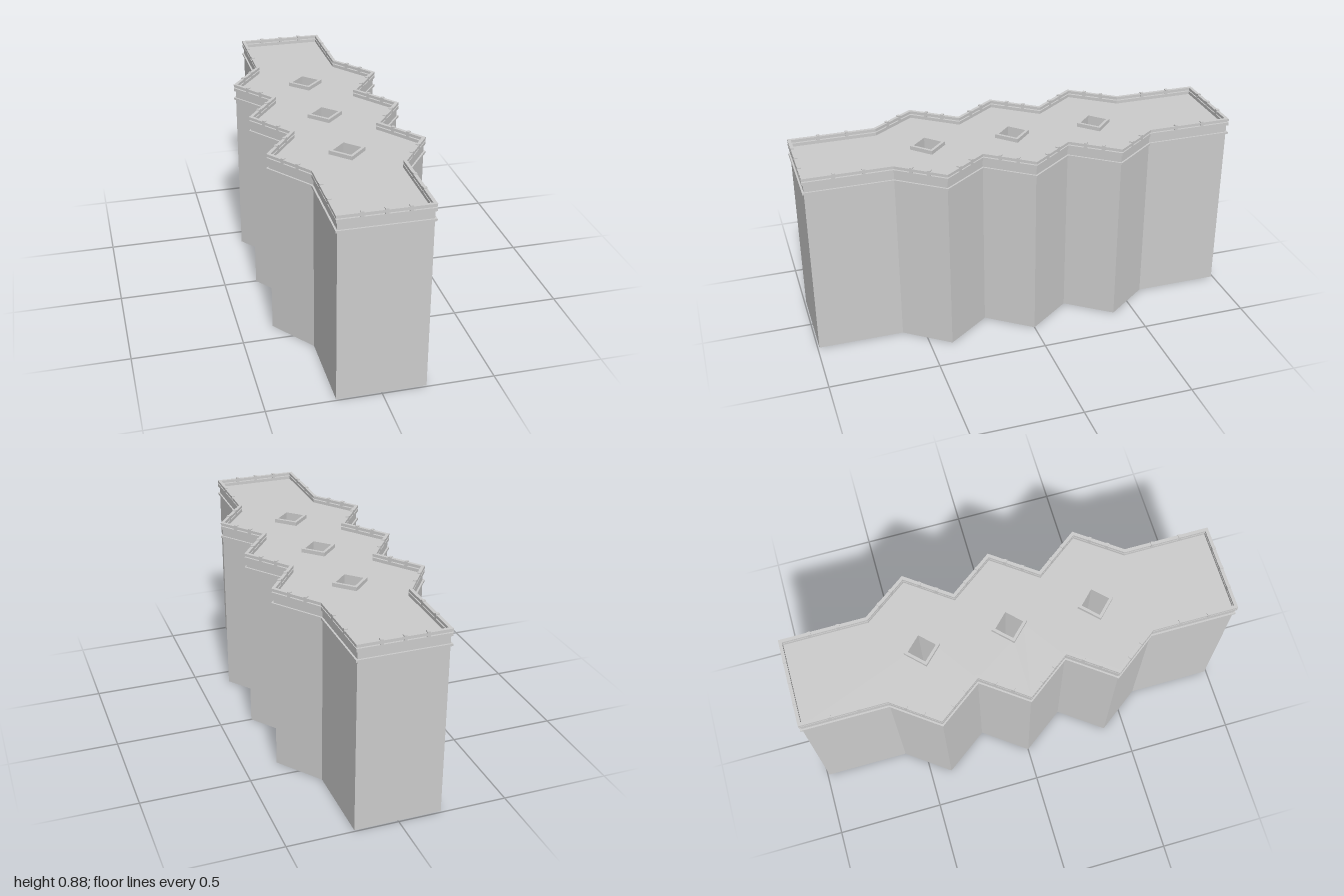
import * as THREE from 'three';

const material = new THREE.MeshStandardMaterial({ color: 0xcccccc, flatShading: true });

// Right half of the plan, then mirrored: plain ends with three pointed bays between
const half = [[0.198, -0.992], [0.198, -0.6], [0.346, -0.4], [0.198, -0.2], [0.346, 0],
  [0.198, 0.2], [0.346, 0.4], [0.198, 0.6], [0.198, 0.992]].map(([x, y]) => new THREE.Vector2(x, y));
const plan = [...half, ...half.map((p) => new THREE.Vector2(-p.x, -p.y))];

// Outward normal of the edge from a to b (counter-clockwise plan)
function normal(a, b) {
  const d = b.clone().sub(a).normalize();
  return new THREE.Vector2(d.y, -d.x);
}

// Plan pushed outward by d with mitred corners
function offset(d) {
  const n = plan.length;
  return plan.map((p, i) => {
    const n1 = normal(plan[(i + n - 1) % n], p);
    const n2 = normal(p, plan[(i + 1) % n]);
    return p.clone().addScaledVector(n1.clone().add(n2), d / (1 + n1.dot(n2)));
  });
}

function diamond(r, y) {
  return [[r, 0], [0, r], [-r, 0], [0, -r]].map(([a, b]) => new THREE.Vector2(a, y + b));
}

// Vertical prism over an outline with holes, from height y0 to y1
function prism(name, outline, holes, y0, y1) {
  const shape = new THREE.Shape(outline);
  shape.holes = holes.map((h) => new THREE.Path(h));
  const geometry = new THREE.ExtrudeGeometry(shape, { depth: y1 - y0, bevelEnabled: false });
  geometry.rotateX(-Math.PI / 2).translate(0, y0, 0);
  const mesh = new THREE.Mesh(geometry, material);
  mesh.name = name;
  return mesh;
}

export function createModel() {
  const model = new THREE.Group();
  model.name = 'building';
  const shafts = [-0.4, 0, 0.4];
  const roof = 0.842;

  // Solid block with three open shafts
  model.add(prism('body', plan, shafts.map((y) => diamond(0.064, y)), 0, roof));

  // Raised curbs around the shafts
  shafts.forEach((y) => model.add(prism('shaftCurb', diamond(0.082, y), [diamond(0.064, y)], roof, 0.86)));

  // Cornice below the roof and two parapet rails with a gap between
  model.add(prism('cornice', offset(0.008), [offset(-0.002)], 0.798, 0.808));
  model.add(prism('lowerRail', offset(0.007), [offset(-0.008)], roof, 0.857));
  model.add(prism('upperRail', offset(0.007), [offset(-0.008)], 0.862, 0.875));

  // Small posts holding the upper rail, evenly spaced along every edge
  const posts = new THREE.Group();
  posts.name = 'parapetPosts';
  const postGeometry = new THREE.BoxGeometry(0.014, 0.023, 0.016);
  plan.forEach((a, i) => {
    const b = plan[(i + 1) % plan.length];
    const out = normal(a, b);
    const parts = Math.abs(a.y - b.y) < 0.01 ? 4 : 3;
    for (let k = 1; k < parts; k++) {
      const p = a.clone().lerp(b, k / parts).addScaledVector(out, -0.0005);
      const post = new THREE.Mesh(postGeometry, material);
      post.name = 'post';
      post.position.set(p.x, 0.8685, -p.y);
      post.rotation.y = Math.atan2(out.x, -out.y);
      posts.add(post);
    }
  });
  model.add(posts);
  return model;
}
